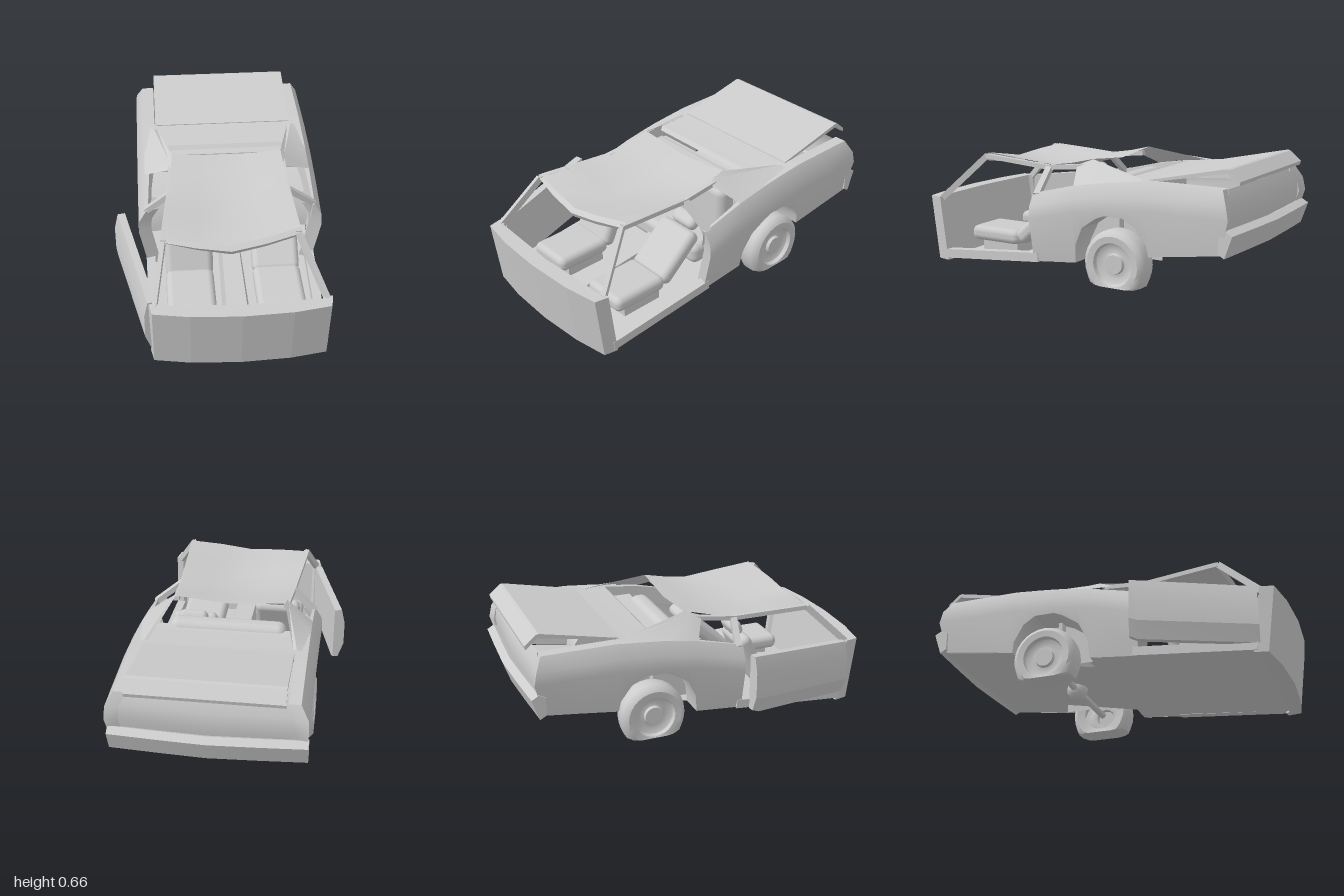
import * as THREE from 'three';
import { toCreasedNormals } from 'three/addons/utils/BufferGeometryUtils.js';
import { RoundedBoxGeometry } from 'three/addons/geometries/RoundedBoxGeometry.js';

const CX = 0.06; // centre line of the body
const mat = new THREE.MeshStandardMaterial({ color: 0xcccccc, side: THREE.DoubleSide });

// Surface through rows of [x, y, z] points; closed rows get end caps
function loft(rows, closed = false, crease = 0.5) {
  const n = rows[0].length, index = [];
  for (let i = 0; i < rows.length - 1; i++) {
    for (let j = 0; j < (closed ? n : n - 1); j++) {
      const a = i * n + j, b = i * n + (j + 1) % n;
      index.push(a, b, b + n, a, b + n, a + n);
    }
  }
  if (closed) {
    const e = (rows.length - 1) * n;
    for (let j = 1; j < n - 1; j++) index.push(0, j + 1, j, e, e + j, e + j + 1);
  }
  const g = new THREE.BufferGeometry();
  g.setAttribute('position', new THREE.Float32BufferAttribute(rows.flat(2), 3));
  g.setIndex(index);
  return toCreasedNormals(g, crease);
}

// Prism from a list of 2D points
const prism = (pts, depth) => new THREE.ExtrudeGeometry(
  new THREE.Shape(pts.map(([x, y]) => new THREE.Vector2(x, y))), { depth, bevelEnabled: false });

// Rectangular beam between two points
function beam(a, b, w, h) {
  const p = new THREE.Vector3(...a), q = new THREE.Vector3(...b);
  const m = new THREE.Matrix4().lookAt(p, q, new THREE.Vector3(0, 1, 0));
  m.setPosition(p.clone().add(q).multiplyScalar(0.5));
  return new THREE.BoxGeometry(w, h, p.distanceTo(q)).applyMatrix4(m);
}

// Piecewise linear lookup in [key, value] pairs with falling keys
function lerpTable(t, z) {
  for (let i = 1; i < t.length; i++) {
    if (z >= t[i][0]) return THREE.MathUtils.mapLinear(z, t[i - 1][0], t[i][0], t[i - 1][1], t[i][1]);
  }
  return t[t.length - 1][1];
}

const arch = [[-0.05, 0.1], [-0.06, 0.2], [-0.11, 0.3], [-0.2, 0.36], [-0.25, 0.38], [-0.36, 0.38],
  [-0.43, 0.34], [-0.49, 0.25], [-0.5, 0.19]];
const beltTable = [[0.22, 0.45], [-0.05, 0.515], [-0.27, 0.55], [-0.5, 0.57], [-1, 0.57]];
const ledgeTable = [[0.22, 0.455], [-0.05, 0.44], [-0.42, 0.4], [-1, 0.4]];
const halfWidth = y => Math.min(0.51, 0.46 + (y - 0.05) * 0.14);

// Cross-section of a rear quarter panel, from rocker up to the inner ledge
function quarterRow(side, z, bottom, bulge = 0, inset = 0) {
  const t = lerpTable(beltTable, z), l = lerpTable(ledgeTable, z);
  return [[halfWidth(bottom), bottom, 0], [0.51, t - 0.14, -0.05], [0.505, t - 0.07, -0.035],
    [0.465, t, 0], [l, t, 0], [l - 0.01, t - 0.1, 0]]
    .map(([w, y, dz]) => [CX + side * (w - (w > l ? inset : 0)), y, z + dz * bulge]);
}

export function createModel() {
  const model = new THREE.Group();
  const add = (name, geo, parent = model) => {
    const mesh = new THREE.Mesh(geo, mat);
    mesh.name = name;
    parent.add(mesh);
    return mesh;
  };

  // Leaning bulkhead that closes the front, with short wrapped corners
  const plan = [[-0.39, 0.95], [-0.2, 0.982], [0.06, 0.995], [0.32, 0.982], [0.51, 0.95], [0.525, 0.875],
    [0.485, 0.87], [0.47, 0.89], [0.06, 0.91], [-0.35, 0.89], [-0.365, 0.87], [-0.405, 0.875]];
  const bulkhead = prism(plan.map(([x, z]) => [x, -z]), 0.365).rotateX(-Math.PI / 2);
  const bp = bulkhead.attributes.position;
  for (let i = 0; i < bp.count; i++) bp.setZ(i, bp.getZ(i) - (0.365 - bp.getY(i)) * 0.13);
  bulkhead.computeVertexNormals();
  add('frontBulkhead', bulkhead);

  // Floor pan, narrowed between the rear wheels
  const floor = [[0.9, 0.45, 0.005], [-0.05, 0.465, 0.1], [-0.05, 0.33, 0.1], [-0.5, 0.33, 0.19],
    [-0.5, 0.475, 0.19], [-0.92, 0.48, 0.25]];
  add('floor', loft(floor.map(([z, w, y]) => [[CX - w, y, z], [CX + w, y, z]])));
  add('tunnel', loft([[0.9, 0.08, 0.02], [0.0, 0.06, 0.1]].map(([z, w, y]) =>
    [[CX - w, y, z], [CX - w * 0.75, y + 0.08, z], [CX + w * 0.75, y + 0.08, z], [CX + w, y, z]])));

  for (const s of [1, -1]) {
    const X = w => CX + s * w;
    const tag = s > 0 ? 'left' : 'right';
    // Quarter panel following the wheel arch, first row folds in as door jamb
    const rows = [quarterRow(s, 0.2, 0.08, 0, 0.07), quarterRow(s, 0.22, 0.073)];
    for (const [z, y] of arch) rows.push(quarterRow(s, z, y));
    rows.push(quarterRow(s, -0.7, 0.22), quarterRow(s, -0.9, 0.248, 1), quarterRow(s, -0.89, 0.255, 1, 0.07));
    add(tag + 'QuarterPanel', loft(rows));
    // Wheel housing: arch tunnel and inner wall
    add(tag + 'WheelHousing', loft([0, 1].map(k => arch.map(([z, y]) => [X(k ? 0.33 : halfWidth(y)), y, z]))));
    add(tag + 'WheelHousingWall', loft(arch.map(([z, y]) => [[X(0.33), 0.14, z], [X(0.33), y, z]])));
    // Sill under the door opening
    add(tag + 'Sill', beam([X(0.44), 0.036, 0.85], [X(0.45), 0.098, 0.19], 0.05, 0.05));
    // Pillars and roof rails
    const left = s > 0;
    const railFront = left ? [0.37, 0.6, 0.65] : [-0.32, 0.577, 0.65];
    const railMid = left ? [0.365, 0.568, 0.22] : [-0.275, 0.56, 0.22];
    const railBack = left ? [0.365, 0.592, -0.02] : [-0.255, 0.588, -0.02];
    add(tag + 'WindscreenPillar', beam([X(0.435), 0.355, 0.88], railFront, 0.024, 0.035));
    add(tag + 'RoofRailFront', beam(railFront, railMid, 0.03, 0.025));
    add(tag + 'RoofRailBack', beam(railMid, railBack, 0.03, 0.025));
    add(tag + 'CentrePillar', beam([X(0.465), 0.44, 0.195], railMid, 0.035, 0.03));
    const roofCorner = left ? [0.36, 0.634, -0.06] : [-0.25, 0.629, -0.06];
    add(tag + 'RearPillar', loft([
      [[X(0.465), 0.513, -0.04], [X(0.465), 0.54, -0.2], [X(0.43), 0.566, -0.43]],
      [[railBack[0], 0.595, 0.04], [railBack[0] + s * 0.015, 0.612, -0.04], [X(0.405), 0.571, -0.425]],
      [roofCorner, roofCorner, [X(0.385), 0.566, -0.42]],
    ]));

    // Wheel: lathed tyre squashed on the ground, with a stepped hub
    const profile = [[0.1, -0.06], [0.15, -0.07], [0.172, -0.055], [0.18, -0.03], [0.18, 0.03], [0.172, 0.055],
      [0.15, 0.07], [0.115, 0.066], [0.108, 0.045], [0.08, 0.03], [0.055, 0.035], [0.05, 0.052],
      [0, 0.052]].map(p => new THREE.Vector2(...p));
    const wheel = new THREE.LatheGeometry(profile, 28).rotateZ(-s * Math.PI / 2);
    const wp = wheel.attributes.position;
    for (let i = 0; i < wp.count; i++) {
      const y = wp.getY(i);
      if (y < -0.07) wp.setZ(i, wp.getZ(i) * (1 + (-0.07 - y) * 1.6));
      wp.setY(i, Math.max(y, -0.122));
    }
    wheel.deleteAttribute('normal');
    wheel.deleteAttribute('uv');
    add(tag + 'Wheel', toCreasedNormals(wheel, 0.7)).position.set(s > 0 ? 0.505 : -0.38, 0.13, -0.305);
  }

  // Axle with differential
  add('axle', new THREE.CylinderGeometry(0.02, 0.02, 0.85, 12).rotateZ(Math.PI / 2)).position.set(CX, 0.13, -0.305);
  add('differential', new THREE.SphereGeometry(0.06, 14, 10)).position.set(CX, 0.13, -0.305);

  // Dented roof: z, then left-to-right edges and heights of edge, middle, edge
  const roofRows = [[0.64, -0.325, 0.375, 0.565, 0.512, 0.575], [0.655, -0.33, 0.38, 0.58, 0.54, 0.6],
    [0.63, -0.33, 0.38, 0.592, 0.56, 0.622],
    [0.42, -0.305, 0.375, 0.585, 0.525, 0.605], [0.2, -0.28, 0.37, 0.575, 0.545, 0.585],
    [0.07, -0.262, 0.365, 0.598, 0.575, 0.605], [-0.06, -0.25, 0.36, 0.63, 0.605, 0.635]];
  add('roof', loft(roofRows.map(([z, x0, x1, a, m, b]) => [0, 0.25, 0.5, 0.75, 1].map(u => {
    const edge = THREE.MathUtils.lerp(a, b, u), k = 1 - Math.abs(2 * u - 1);
    return [THREE.MathUtils.lerp(x0, x1, u), edge + (m - (a + b) / 2) * k,
      z + (z > 0.6 ? 0.05 * Math.sin(Math.PI * u) : 0)];
  })), false, 0.6));

  // Rear deck, parcel shelf and boot lid standing ajar
  add('rearDeck', loft([[-0.25, 0.53, 0.4], [-0.27, 0.55, 0.41], [-0.42, 0.562, 0.41], [-0.48, 0.57, 0.41]]
    .map(([z, y, w]) => [[CX - w, y, z], [CX + w, y, z]])));
  add('parcelShelf', new THREE.BoxGeometry(0.8, 0.02, 0.14)).position.set(CX, 0.48, -0.19);
  const lid = [[0.46, 0.572], [0.885, 0.662], [0.9, 0.658], [0.962, 0.605], [0.958, 0.585], [0.892, 0.64],
    [0.46, 0.56]];
  add('bootLid', prism(lid, 0.795).rotateY(Math.PI / 2)).position.x = -0.335;
  add('bootBulkhead', new THREE.BoxGeometry(0.76, 0.33, 0.02)).position.set(CX, 0.33, -0.26);

  // Tail panel and bowed bumper
  add('tailPanel', loft([[-0.9, 0.25], [-0.915, 0.36], [-0.925, 0.43], [-0.915, 0.5], [-0.885, 0.56]]
    .map(([z, y]) => [[CX - 0.46, y, z], [CX, y, z - 0.02], [CX + 0.46, y, z]])));
  const bumper = [[-0.91, 0.36], [-0.945, 0.378], [-0.985, 0.355], [-0.945, 0.24], [-0.91, 0.26]];
  add('rearBumper', loft([-0.45, -0.2, 0.06, 0.31, 0.56].map((x, i) => bumper.map(([z, y]) =>
    [x, y, z + [0.015, 0, -0.012, 0, 0.015][i]])), true, 0.3));

  // Right door swung open about its front edge
  const doorSection = [[0.03, 0], [0, 0.28], [0, 0.72], [0.02, 1], [0.06, 1], [0.06, 0]];
  const doorEnds = [[-0.43, 0.87, 0.05, 0.365], [-0.57, 0.27, 0.1, 0.435], [-0.58, 0.225, 0.12, 0.44]];
  add('openDoor', loft(doorEnds.map(([x, z, y0, y1]) =>
    doorSection.map(([o, t]) => [x + o, THREE.MathUtils.lerp(y0, y1, t), z - o * 0.2])), true, 0.3));

  // Front seats: one upright, one reclined
  for (const [name, x, tilt] of [['rightSeat', -0.18, 0.42], ['leftSeat', 0.295, 0.85]]) {
    const seat = new THREE.Group();
    seat.name = name;
    seat.position.set(x, 0, 0);
    model.add(seat);
    add('cushion', new RoundedBoxGeometry(0.26, 0.085, 0.33, 3, 0.035), seat).position.set(0, 0.155, 0.57);
    add('seatBase', new THREE.BoxGeometry(0.2, 0.07, 0.24), seat).position.set(0, 0.09, 0.55);
    const back = new THREE.Group();
    back.name = 'backrest';
    back.position.set(0, 0.155, 0.4);
    back.rotation.x = -tilt;
    seat.add(back);
    add('backCushion', new RoundedBoxGeometry(0.26, 0.32, 0.085, 3, 0.035), back).position.y = 0.145;
    add('headrest', new RoundedBoxGeometry(0.165, 0.085, 0.07, 3, 0.03), back).position.y = 0.35;
  }

  // Rear bench, fitted between the wheel housings
  add('rearSeatBack', new RoundedBoxGeometry(0.65, 0.34, 0.12, 4, 0.05)).position.set(CX, 0.35, -0.1);
  add('rearSeatCushion', new RoundedBoxGeometry(0.65, 0.12, 0.24, 3, 0.04)).position.set(CX, 0.18, 0.04);

  return model;
}
